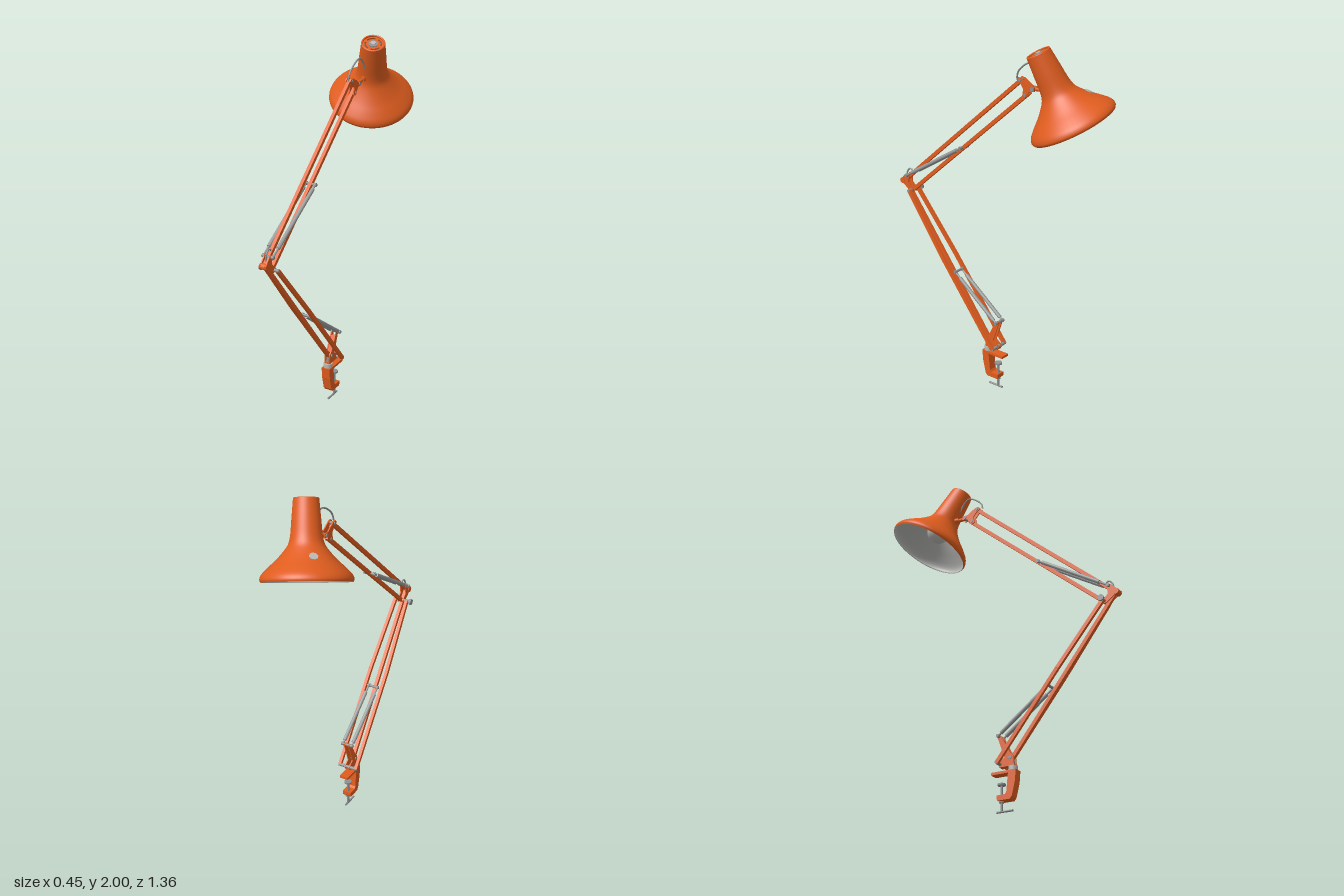
import * as THREE from 'three';

const mat = (name, color) => Object.assign(new THREE.MeshStandardMaterial({ color }), { name });
const V = (x, y, z) => new THREE.Vector3(x, y, z);
const UP = V(0, 1, 0);

export function createModel() {
  const orange = mat('orange paint', 0xe05d1f);
  const steel = mat('steel', 0x8e9091);
  const springSteel = mat('spring steel', 0x999b9b);
  const pale = mat('pale grey', 0xb9b9b6);
  const dark = mat('dark grey', 0x5c5e60);
  const model = new THREE.Group();
  model.name = 'deskLamp';

  const group = (name, x = 0, y = 0, z = 0) => {
    const g = new THREE.Group();
    g.name = name;
    g.position.set(x, y, z);
    model.add(g);
    return g;
  };
  const add = (parent, name, geo, material) => {
    const m = new THREE.Mesh(geo, material);
    m.name = name;
    parent.add(m);
    return m;
  };
  // place a y-aligned mesh between two points
  const span = (m, a, b) => {
    m.position.copy(a).add(b).multiplyScalar(0.5);
    m.quaternion.setFromUnitVectors(UP, b.clone().sub(a).normalize());
    return m;
  };
  const rod = (p, name, a, b, r, material, sides = 14) =>
    span(add(p, name, new THREE.CylinderGeometry(r, r, a.distanceTo(b), sides), material), a, b);
  const bar = (p, name, a, b, w, t, material) =>
    span(add(p, name, new THREE.BoxGeometry(w, a.distanceTo(b), t), material), a, b);
  // pin across the arm
  const pin = (p, name, y, z, half, r, material) => rod(p, name, V(-half, y, z), V(half, y, z), r, material);
  // flat plate from a [z, y] outline, centred on x
  const plate = (p, name, outline, x, t, material) => {
    const shape = new THREE.Shape(outline.map(([z, y]) => new THREE.Vector2(z, y)));
    const geo = new THREE.ExtrudeGeometry(shape, { depth: t, bevelEnabled: false });
    geo.rotateY(-Math.PI / 2).translate(x + t / 2, 0, 0);
    return add(p, name, geo, material);
  };
  const tube = (p, name, pts, r, material) =>
    add(p, name, new THREE.TubeGeometry(new THREE.CatmullRomCurve3(pts), 32, r, 8), material);

  const X = 0.038; // arm plane

  // Table clamp
  const clamp = group('clamp', X);
  plate(clamp, 'clampBody', [[0.075, 0.212], [0.07, 0.15], [0.052, 0.075], [0.04, 0.06], [-0.03, 0.06],
    [-0.035, 0.068], [-0.035, 0.088], [0.012, 0.088], [0.02, 0.1], [0.03, 0.198], [-0.068, 0.198], [-0.068, 0.212]],
  0, 0.05, orange);
  rod(clamp, 'screw', V(0, 0.005, -0.02), V(0, 0.15, -0.02), 0.007, steel);
  rod(clamp, 'screwPad', V(0, 0.143, -0.02), V(0, 0.153, -0.02), 0.021, steel, 20);
  rod(clamp, 'screwNut', V(0, 0.052, -0.02), V(0, 0.06, -0.02), 0.014, steel, 6);
  rod(clamp, 'screwHandle', V(0, 0.006, 0.045), V(0, 0.006, -0.048), 0.0055, steel);
  rod(clamp, 'collar', V(0, 0.21, 0.047), V(0, 0.236, 0.047), 0.025, pale, 24);
  rod(clamp, 'swivelPost', V(0, 0.236, 0.045), V(0, 0.285, 0.04), 0.012, steel);

  // Base bracket: folded channel with two cheeks and a web
  const base = group('baseBracket', X);
  for (const s of [-1, 1]) {
    plate(base, 'bracketCheek', [[0.06, 0.242], [-0.025, 0.24], [-0.034, 0.252], [-0.025, 0.264], [0.005, 0.285],
      [-0.034, 0.396], [-0.034, 0.408], [-0.024, 0.413], [-0.014, 0.405], [0.036, 0.31], [0.055, 0.29]], s * 0.0135, 0.006, orange);
  }
  plate(base, 'bracketFloor', [[0.06, 0.236], [-0.025, 0.236], [-0.025, 0.244], [0.06, 0.244]], 0, 0.033, orange);
  bar(base, 'bracketWeb', V(0, 0.3, 0.034), V(0, 0.385, -0.009), 0.025, 0.006, orange);
  pin(base, 'lowerPin', 0.252, -0.02, 0.058, 0.009, steel);
  pin(base, 'upperPin', 0.403, -0.026, 0.037, 0.008, steel);
  pin(base, 'pivotPin', 0.28, 0.037, 0.021, 0.009, steel);

  // Lower arm: one central bar and a bowed outer pair
  const lower = group('lowerArm', X);
  bar(lower, 'centralBar', V(0, 0.275, 0.04), V(0, 1.07, 0.65), 0.018, 0.02, orange);
  for (const s of [-1, 1]) {
    const pts = [V(s * 0.051, 0.25, -0.02), V(s * 0.051, 0.7, 0.334), V(s * 0.035, 1.032, 0.594)];
    for (let i = 0; i < 2; i++) bar(lower, 'outerBar', pts[i], pts[i + 1], 0.017, 0.02, orange);
  }
  pin(lower, 'springPin', 0.628, 0.267, 0.036, 0.007, steel);

  // Tension springs with thin hooked ends
  const springs = group('springs', X);
  const spring = (y0, z0, y1, z1, from, to) => {
    for (const s of [-1, 1]) {
      const a = V(s * 0.027, y0, z0), b = V(s * 0.027, y1, z1);
      rod(springs, 'springWire', a, b, 0.0055, springSteel, 8);
      rod(springs, 'springCoil', a.clone().lerp(b, from), a.clone().lerp(b, to), 0.0105, springSteel);
      for (const e of [a, b]) rod(springs, 'springEye', V(e.x - 0.006, e.y, e.z), V(e.x + 0.006, e.y, e.z), 0.01, steel);
    }
  };
  spring(0.403, -0.026, 0.628, 0.267, 0.06, 0.88);
  spring(1.112, 0.622, 1.357, 0.22, 0.12, 0.94);

  // Elbow
  const elbow = group('elbow', X);
  for (const s of [-1, 1]) {
    plate(elbow, 'elbowPlate', [[0.678, 1.082], [0.672, 1.062], [0.65, 1.054], [0.605, 1.02], [0.586, 1.02],
      [0.582, 1.036], [0.615, 1.07], [0.612, 1.112], [0.622, 1.124], [0.636, 1.118], [0.662, 1.09]], s * 0.015, 0.006, orange);
  }
  pin(elbow, 'elbowBoss', 1.073, 0.661, 0.021, 0.016, orange);
  pin(elbow, 'innerPin', 1.032, 0.594, 0.045, 0.009, steel);
  pin(elbow, 'springPin', 1.112, 0.622, 0.036, 0.007, steel);
  rod(elbow, 'knobStem', V(-0.055, 1.032, 0.594), V(-0.04, 1.032, 0.594), 0.008, steel);
  rod(elbow, 'knob', V(-0.066, 1.032, 0.594), V(-0.054, 1.032, 0.594), 0.017, steel, 12);
  tube(elbow, 'elbowCable', [V(0, 1.085, 0.645), V(0, 1.13, 0.636), V(0, 1.147, 0.618), V(0, 1.142, 0.602), V(0, 1.115, 0.592)], 0.0045, steel);

  // Upper arm: two parallel bars
  const upper = group('upperArm', X);
  bar(upper, 'topBar', V(0, 1.078, 0.65), V(0, 1.796, -0.173), 0.018, 0.02, orange);
  bar(upper, 'bottomBar', V(0, 1.03, 0.594), V(0, 1.74, -0.225), 0.018, 0.02, orange);
  pin(upper, 'springPin', 1.357, 0.22, 0.036, 0.007, steel);

  // Head bracket and hinge to the shade
  const head = group('headBracket', X);
  for (const s of [-1, 1]) {
    plate(head, 'headPlate', [[-0.15, 1.796], [-0.163, 1.81], [-0.185, 1.806], [-0.235, 1.775], [-0.265, 1.774],
      [-0.265, 1.752], [-0.235, 1.748], [-0.205, 1.71], [-0.188, 1.715], [-0.195, 1.755], [-0.175, 1.78]], s * 0.013, 0.006, orange);
  }
  pin(head, 'topPin', 1.797, -0.172, 0.019, 0.008, steel);
  pin(head, 'bottomPin', 1.725, -0.205, 0.019, 0.008, steel);
  pin(head, 'hingePin', 1.762, -0.25, 0.02, 0.01, steel);
  rod(head, 'hingeArm', V(0, 1.762, -0.25), V(0, 1.767, -0.325), 0.01, orange);
  rod(head, 'hingeBoss', V(0, 1.766, -0.298), V(0, 1.768, -0.325), 0.015, orange);
  tube(head, 'headCable', [V(0.005, 1.8, -0.145), V(0.008, 1.84, -0.158), V(0.012, 1.888, -0.215), V(0.015, 1.897, -0.25),
    V(0.017, 1.875, -0.277), V(0.018, 1.825, -0.305)], 0.0045, steel);

  // Shade, tilted on its own axis with the rim at its origin
  const axis = V(0.232, 0.89, 0.393).normalize();
  const shade = group('shade', 0, 1.61, -0.476);
  shade.quaternion.setFromUnitVectors(UP, axis);
  const lathe = (pts) => new THREE.LatheGeometry(pts.map(([r, y]) => new THREE.Vector2(r, y)), 48);
  const curve = new THREE.CatmullRomCurve3([[0.224, 0], [0.229, 0.012], [0.222, 0.034], [0.193, 0.066], [0.15, 0.106],
    [0.112, 0.148], [0.09, 0.18], [0.08, 0.215], [0.072, 0.3], [0.063, 0.402]].map(([r, y]) => V(r, y, 0)));
  const outer = curve.getPoints(36).map((p) => [p.x, p.y]);
  const inner = outer.map(([r, y], i) => [i ? r - 0.005 : r, y]).reverse();
  add(shade, 'shadeOuter', lathe(outer), orange);
  add(shade, 'shadeInner', lathe(inner), pale);
  add(shade, 'neckLip', lathe([[0.063, 0.402], [0.061, 0.405], [0.056, 0.405], [0.054, 0.401], [0.055, 0.39]]), orange);

  // Vented cap
  const disc = new THREE.Shape().absarc(0, 0, 0.057, 0, Math.PI * 2);
  for (let i = 0; i < 4; i++) {
    const a = i * Math.PI / 2 + 0.2, b = a + 1.17;
    const slot = new THREE.Path();
    slot.absarc(0, 0, 0.046, a, b, false);
    slot.absarc(0, 0, 0.037, b, a, true);
    slot.closePath();
    disc.holes.push(slot);
  }
  add(shade, 'ventCap', new THREE.ExtrudeGeometry(disc, { depth: 0.006, bevelEnabled: false, curveSegments: 24 })
    .rotateX(-Math.PI / 2).translate(0, 0.39, 0), orange);
  rod(shade, 'ventBacking', V(0, 0.376, 0), V(0, 0.38, 0), 0.056, dark, 32);
  rod(shade, 'capWasher', V(0, 0.394, 0), V(0, 0.4, 0), 0.025, steel, 24);
  rod(shade, 'capNut', V(0, 0.4, 0), V(0, 0.406, 0), 0.015, pale, 6);

  // Bulb and socket
  rod(shade, 'socket', V(0, 0.2, 0), V(0, 0.375, 0), 0.035, steel, 24);
  add(shade, 'bulb', new THREE.SphereGeometry(0.064, 28, 20).translate(0, 0.12, 0), pale);
  add(shade, 'bulbNeck', new THREE.CylinderGeometry(0.03, 0.05, 0.06, 24).translate(0, 0.185, 0), pale);

  // Push switch through the shade
  const sw = group('switch', -0.062, 1.774, -0.513);
  sw.quaternion.setFromUnitVectors(UP, V(-0.342, 0.917, -0.198).normalize());
  rod(sw, 'switchButton', V(0, -0.003, 0), V(0, 0.006, 0), 0.023, pale, 8);
  rod(sw, 'switchNut', V(0, -0.02, 0), V(0, -0.002, 0), 0.014, orange, 16);

  return model;
}
